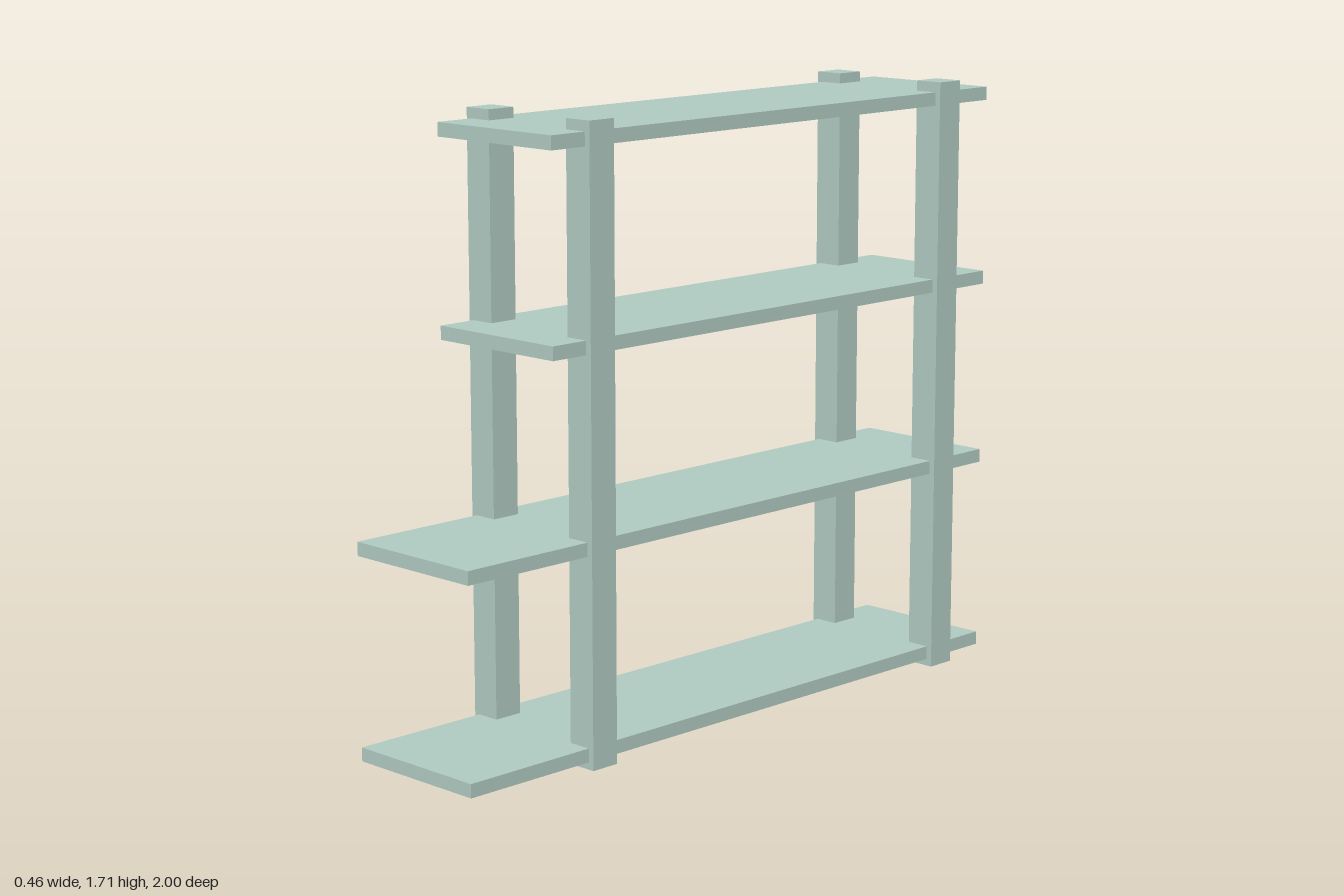
import * as THREE from 'three';

export function createModel() {
  const group = new THREE.Group();
  const material = new THREE.MeshStandardMaterial({ color: 0xb0cac1 });

  function addBox(name, size, position) {
    const mesh = new THREE.Mesh(new THREE.BoxGeometry(...size), material);
    mesh.name = name;
    mesh.position.set(...position);
    group.add(mesh);
  }

  // Four square posts running the full height
  const height = 1.706, post = 0.086;
  for (const [side, x] of [['Left', 0.189], ['Right', -0.189]]) {
    for (const [end, z] of [['front', 0.546], ['back', -0.817]]) {
      addBox(`${end}${side}Post`, [post, height, post], [x, height / 2, z]);
    }
  }

  // Shelf boards: [centre height, front edge]; the two upper ones are shorter
  const back = -1;
  const shelves = [[0.039, 1], [0.594, 1], [1.124, 0.705], [1.658, 0.705]];
  shelves.forEach(([y, front], i) => {
    addBox(`shelf${i + 1}`, [0.43, 0.038, front - back], [0, y, (front + back) / 2]);
  });

  return group;
}
